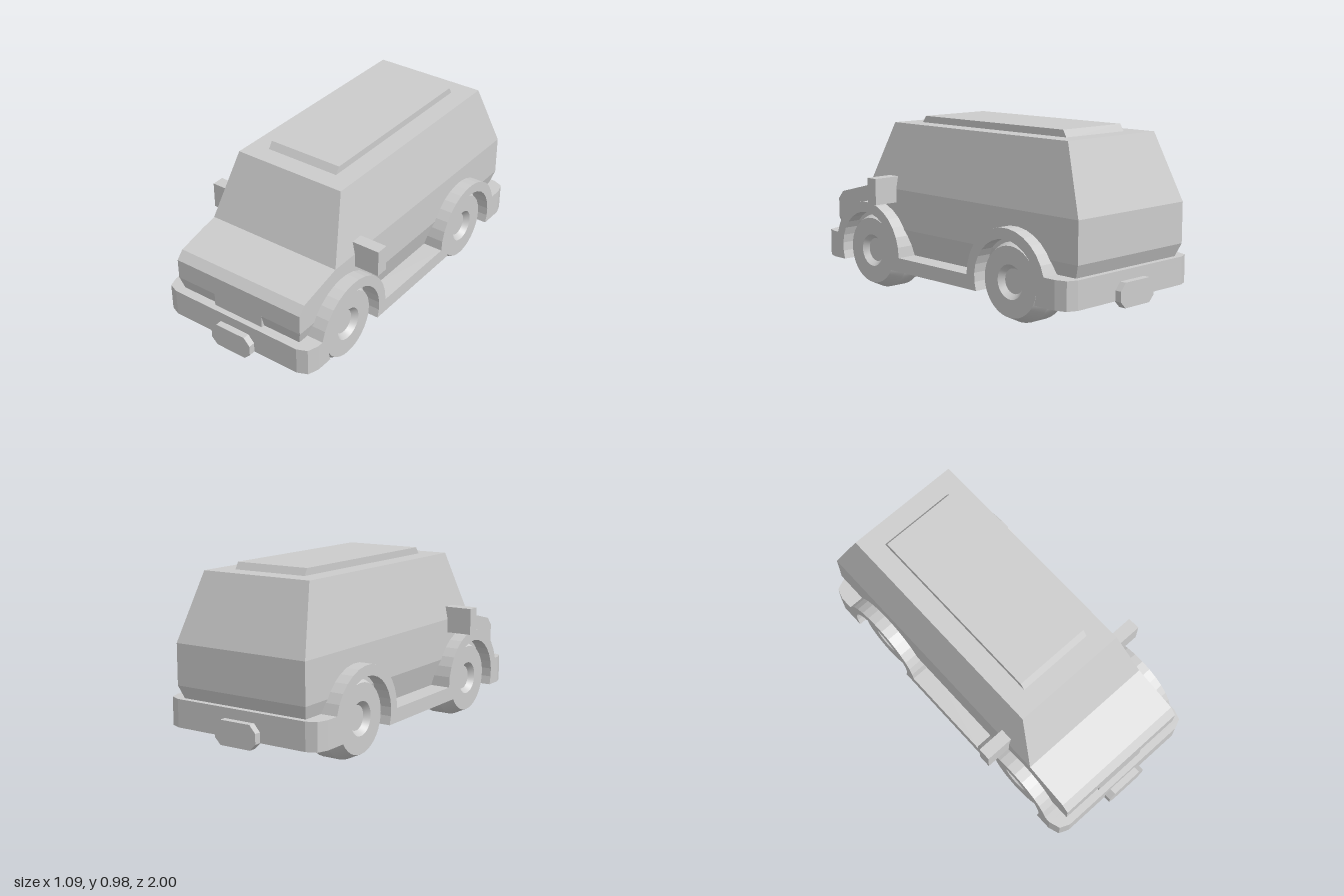
import * as THREE from 'three';
import { toCreasedNormals } from 'three/addons/utils/BufferGeometryUtils.js';

export function createModel() {
  const van = new THREE.Group();
  van.name = 'van';
  const grey = new THREE.MeshStandardMaterial({ color: 0xcccccc });
  grey.name = 'grey';

  const add = (name, geometry) => {
    const mesh = new THREE.Mesh(geometry, grey);
    mesh.name = name;
    van.add(mesh);
    return mesh;
  };

  // Box with different rectangles at bottom and top: [half width, front z, back z]
  const frustum = (y0, low, y1, high) => {
    const g = new THREE.BoxGeometry(2, 2, 2);
    const p = g.attributes.position;
    for (let i = 0; i < p.count; i++) {
      const up = p.getY(i) > 0;
      const [w, front, back] = up ? high : low;
      p.setXYZ(i, p.getX(i) * w, up ? y1 : y0, p.getZ(i) > 0 ? front : back);
    }
    g.computeVertexNormals();
    return g;
  };

  const shapeOf = (pts) => new THREE.Shape(pts.map(([a, b]) => new THREE.Vector2(a, b)));
  const extrude = (pts, depth) =>
    new THREE.ExtrudeGeometry(shapeOf(pts), { depth, bevelEnabled: false });
  // Side profile given as [z, y], extruded from xMax inwards
  const sideways = (pts, depth, xMax) => extrude(pts, depth).rotateY(-Math.PI / 2).translate(xMax, 0, 0);

  // Body shell
  add('cabin', frustum(0.585, [0.4, 0.635, -0.96], 0.945, [0.327, 0.49, -0.82]));
  add('bodyAndHood', sideways([
    [-0.96, 0.365], [0.93, 0.365], [0.93, 0.475], [0.89, 0.52], [0.635, 0.585], [-0.96, 0.585],
  ], 0.8, 0.4));
  add('lowerBody', frustum(0.22, [0.36, 0.89, -0.9], 0.365, [0.4, 0.93, -0.96]));
  add('grille', frustum(0.28, [0.155, 0.93, 0.85], 0.365, [0.155, 0.93, 0.85]));
  add('floor', frustum(0.145, [0.36, 0.9, -0.9], 0.25, [0.36, 0.9, -0.9]));

  // Raised roof panel
  add('roofPanel', frustum(0.94, [0.217, 0.385, -0.71], 0.982, [0.217, 0.355, -0.685]));

  // Side sills with wheel arches
  const axleY = 0.222, frontZ = 0.575, rearZ = -0.535;
  const arc = (z, r, from, to, n) => Array.from({ length: n + 1 }, (_, i) => {
    const a = from + (to - from) * i / n;
    return [z + r * Math.cos(a), axleY + r * Math.sin(a)];
  });
  const lip = Math.asin(0.073 / 0.28), cut = Math.asin(0.077 / 0.222);
  const sill = [
    [-0.88, 0.145], [-0.88, 0.295],
    ...arc(rearZ, 0.28, Math.PI - lip, 0, 14),
    ...arc(frontZ, 0.28, Math.PI, lip, 14),
    [0.88, 0.295], [0.88, 0.145],
    ...arc(frontZ, 0.222, -cut, Math.PI + cut, 18),
    ...arc(rearZ, 0.222, -cut, Math.PI + cut, 18),
  ];
  add('leftSill', sideways(sill, 0.135, 0.475));
  add('rightSill', sideways(sill, 0.135, -0.34));

  // Bumpers with chamfered corners, and their plates
  const bumper = [
    [-0.475, 0.88], [0.475, 0.88], [0.455, 0.94], [0.4, 0.963], [-0.4, 0.963], [-0.455, 0.94],
  ];
  const plate = [
    [-0.092, 0.11], [0.092, 0.11], [0.127, 0.145], [0.127, 0.2],
    [0.092, 0.24], [-0.092, 0.24], [-0.127, 0.2], [-0.127, 0.145],
  ];
  for (const [end, turn] of [['front', 0], ['rear', Math.PI]]) {
    add(end + 'Bumper', extrude(bumper, 0.15).rotateX(Math.PI / 2).translate(0, 0.295, 0)).rotation.y = turn;
    add(end + 'Plate', extrude(plate, 0.04).translate(0, 0, 0.96)).rotation.y = turn;
  }

  // Wheels: chamfered tyres with a dished hub, outer face towards +x
  const profile = [
    [0, 0.18], [0.185, 0.18], [0.22, 0.255], [0.22, 0.36],
    [0.185, 0.435], [0.09, 0.435], [0.066, 0.405], [0, 0.405],
  ].map(([r, x]) => new THREE.Vector2(r, x));
  const wheel = toCreasedNormals(new THREE.LatheGeometry(profile, 36), 0.35).rotateZ(-Math.PI / 2);

  for (const [side, s] of [['left', 1], ['right', -1]]) {
    for (const [end, z] of [['Front', frontZ], ['Rear', rearZ]]) {
      const w = add(side + end + 'Wheel', wheel);
      w.position.set(0, 0.22, z);
      w.rotation.y = s > 0 ? 0 : Math.PI;
    }
    // Door mirror
    add(side + 'Mirror', new THREE.BoxGeometry(0.16, 0.145, 0.07)).position.set(s * 0.464, 0.583, 0.435);
  }
  return van;
}
